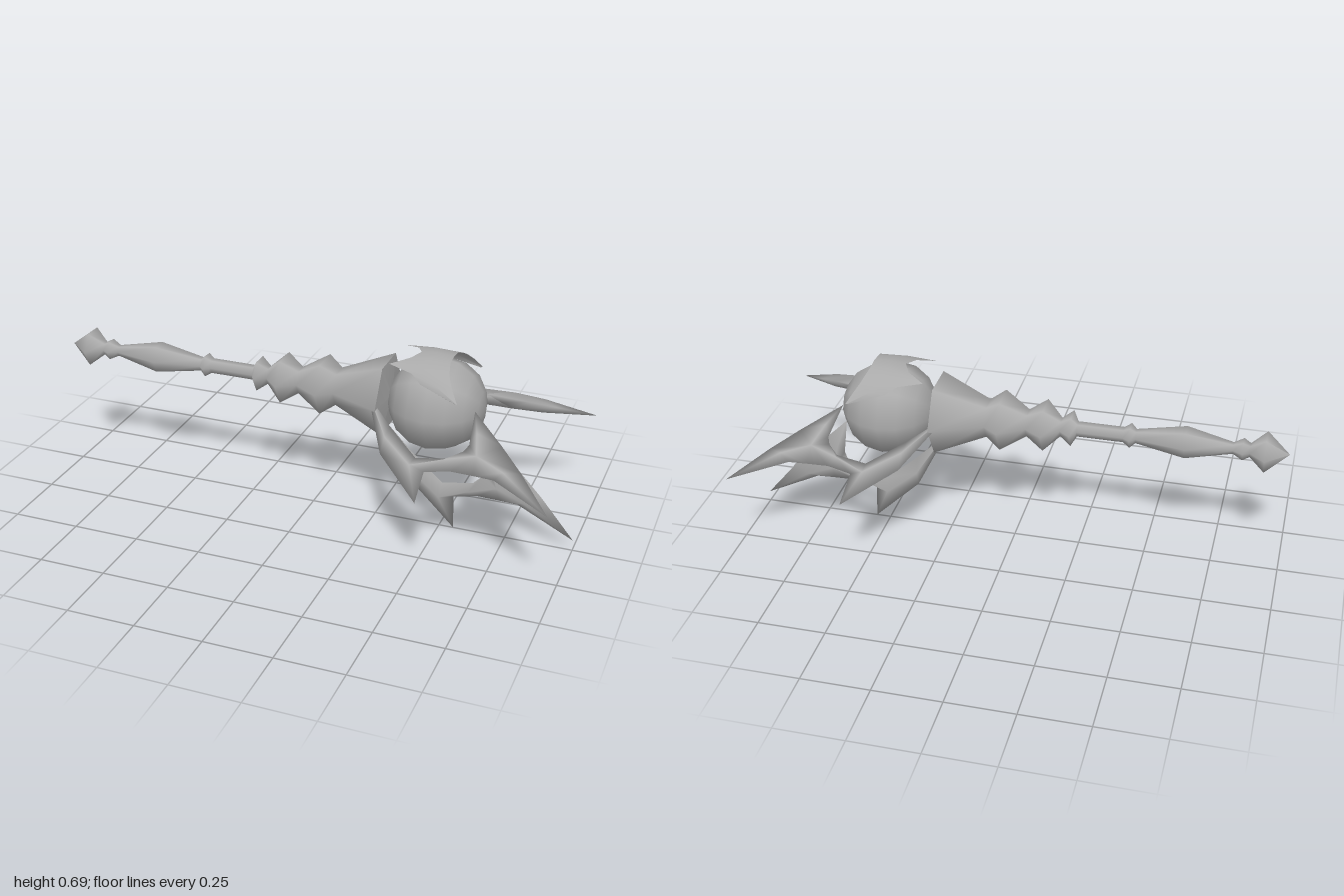
import * as THREE from 'three';

const AXIS_Y = 0.5;

// Blade ridge: x, y, half thickness
const RIDGE = [
  [0.275, 0.395, 0.003], [0.38, 0.23, 0.021], [0.5, 0.13, 0.027], [0.61, 0.175, 0.029],
  [0.715, 0.21, 0.03], [0.82, 0.165, 0.025], [0.69, 0.31, 0.019],
];
// Blade outline, counter-clockwise: x, y, index of the ridge point it slopes up to
const OUTLINE = [
  [0.262, 0.408, 0], [0.38, 0.17, 1], [0.555, 0, 2], [0.55, 0.13, 2], [0.64, 0.15, 3],
  [0.72, 0.148, 4], [0.79, 0.145, 5], [1.0, 0.04, 5], [0.875, 0.19, 5], [0.785, 0.285, 4],
  [0.655, 0.412, 6], [0.672, 0.27, 6], [0.66, 0.24, 4], [0.62, 0.2, 3], [0.505, 0.18, 2], [0.38, 0.29, 1],
];
const BLADE_TOP = 0.41;

function buildGeometry(points, index) {
  const g = new THREE.BufferGeometry();
  g.setAttribute('position', new THREE.Float32BufferAttribute(points.flat(), 3));
  g.setIndex(index);
  g.computeVertexNormals();
  return g;
}

// Lens-section blade: both faces rise from the outline to the ridge
function bladeGeometry() {
  const n = OUTLINE.length, m = RIDGE.length;
  const points = OUTLINE.map(([x, y]) => [x, y - BLADE_TOP, 0]);
  for (const s of [1, -1]) for (const [x, y, t] of RIDGE) points.push([x, y - BLADE_TOP, s * t]);
  const index = [];
  const tri = (a, b, c, flip) => index.push(...(flip ? [a, c, b] : [a, b, c]));
  for (const side of [0, 1]) {
    for (let a = 0; a < n; a++) {
      const b = (a + 1) % n;
      const ra = n + side * m + OUTLINE[a][2], rb = n + side * m + OUTLINE[b][2];
      tri(a, b, rb, side);
      if (ra !== rb) tri(a, rb, ra, side);
    }
  }
  return buildGeometry(points, index);
}

// Curved crest: rows of [angle from the top in degrees, rear x, front x]
function crestGeometry() {
  const half = [[0, 0.41, 0.53], [15, 0.385, 0.53], [29, 0.32, 0.54], [37, 0.41, 0.548], [48, 0.45, 0.565], [63, 0.585, 0.592]];
  const rows = [...half.slice(1).reverse().map(([a, p, q]) => [-a, p, q]), ...half];
  const points = [], index = [];
  rows.forEach(([deg, x0, x1], i) => {
    const a = THREE.MathUtils.degToRad(deg);
    [0, 0.5, 1].forEach((t, j) => {
      const r = [0.186, 0.193, 0.189][j];
      points.push([x0 + (x1 - x0) * t, AXIS_Y + r * Math.cos(a), r * Math.sin(a)]);
      if (i && j) {
        const k = i * 3 + j;
        index.push(k - 4, k, k - 3, k - 4, k - 1, k);
      }
    });
  });
  return buildGeometry(points, index);
}

export function createModel() {
  const model = new THREE.Group();
  const grey = new THREE.MeshStandardMaterial({ color: 0xaaaaaa, side: THREE.DoubleSide });
  grey.name = 'grey metal';
  const add = (name, geometry) => {
    const mesh = new THREE.Mesh(geometry, grey);
    mesh.name = name;
    model.add(mesh);
    return mesh;
  };

  // Six-sided shaft with pommel, grip, collars and flared socket: x, radius
  const profile = [
    [-1, 0], [-0.915, 0.074], [-0.86, 0.025], [-0.835, 0.04], [-0.8, 0.021], [-0.63, 0.058],
    [-0.45, 0.026], [-0.43, 0.045], [-0.405, 0.028], [-0.235, 0.028], [-0.215, 0.066], [-0.175, 0.034],
    [-0.115, 0.095], [-0.05, 0.05], [0.045, 0.111], [0.1, 0.07], [0.29, 0.152],
  ];
  const lathe = (pts) => new THREE.LatheGeometry(pts.map(([x, r]) => new THREE.Vector2(r, x)), 6).rotateZ(-Math.PI / 2);
  add('shaft', lathe(profile)).position.y = AXIS_Y;
  add('socketEnd', lathe([[0.29, 0.152], [0.305, 0]])).position.y = AXIS_Y;

  // Faceted-outline orb with its poles along the shaft
  add('orb', new THREE.SphereGeometry(0.178, 8, 8).rotateZ(-Math.PI / 2)).position.set(0.476, AXIS_Y, 0);
  add('crest', crestGeometry());

  // Three forked blades: one below, one on each side
  const blade = bladeGeometry();
  add('lowerBlade', blade).position.y = BLADE_TOP;
  for (const s of [1, -1]) {
    const side = add(s > 0 ? 'frontBlade' : 'backBlade', blade);
    side.rotation.x = -s * 1.08;
    side.position.set(-0.02, 0.525, s * 0.08);
  }
  return model;
}
